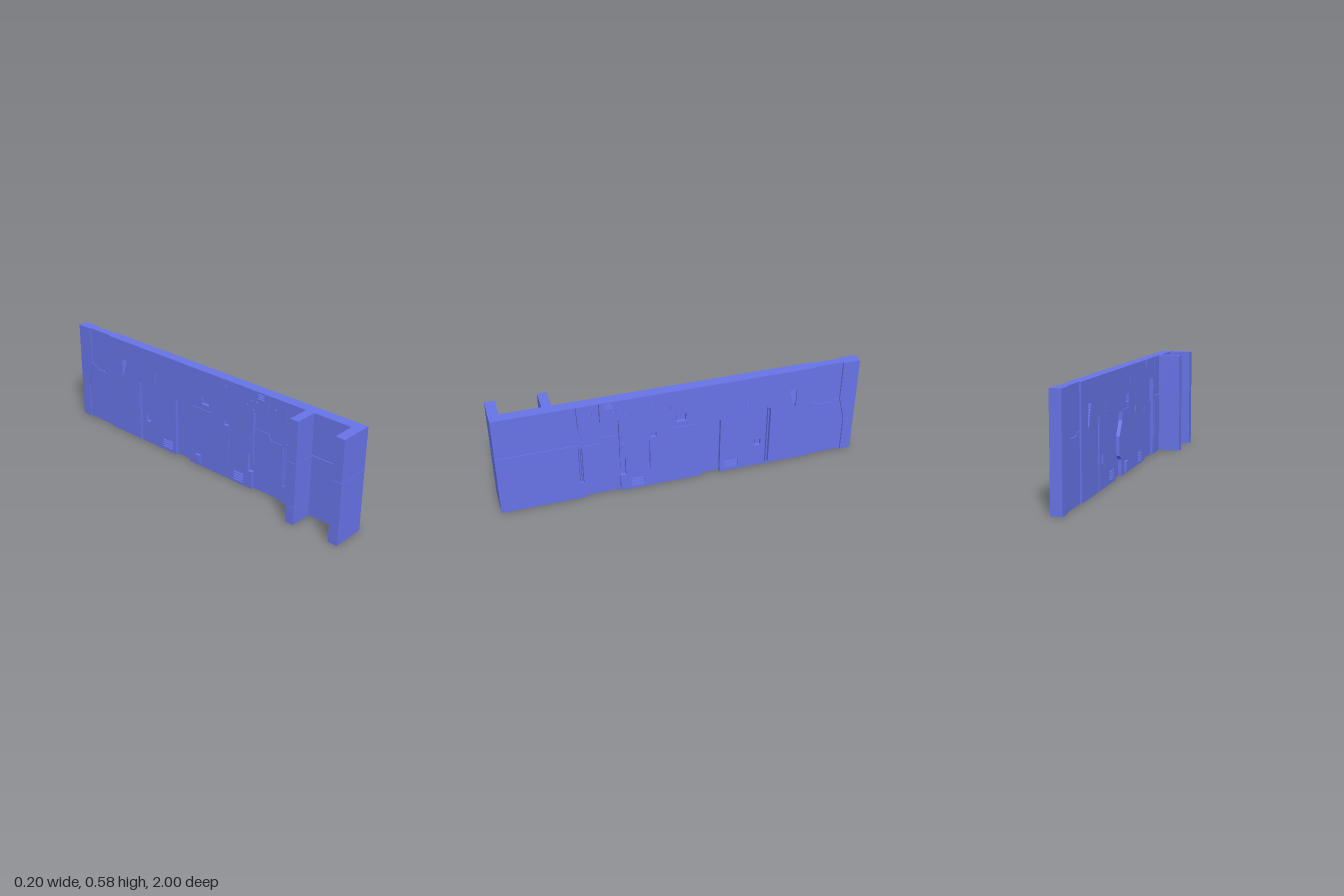
import * as THREE from 'three';

const H = 0.58;

export function createModel() {
  const group = new THREE.Group();
  const mat = new THREE.MeshStandardMaterial({ color: 0x6673e6 });

  function add(name, geometry) {
    const mesh = new THREE.Mesh(geometry, mat);
    mesh.name = name;
    group.add(mesh);
    return mesh;
  }
  // Box given by its limits
  function box(name, x0, x1, y0, y1, z0, z1) {
    const g = new THREE.BoxGeometry(x1 - x0, y1 - y0, z1 - z0);
    g.translate((x0 + x1) / 2, (y0 + y1) / 2, (z0 + z1) / 2);
    return add(name, g);
  }
  const vectors = pts => pts.map(p => new THREE.Vector2(p[0], p[1]));
  // Outline in (z, y), extruded from x0 to x1
  function plate(name, pts, x0, x1, holes = []) {
    const shape = new THREE.Shape(vectors(pts));
    for (const h of holes) shape.holes.push(new THREE.Path(vectors(h)));
    const g = new THREE.ExtrudeGeometry(shape, { depth: x1 - x0, bevelEnabled: false });
    g.rotateY(-Math.PI / 2);
    g.translate(x1, 0, 0);
    return add(name, g);
  }
  const rect = (z0, z1, y0, y1) => [[z0, y0], [z1, y0], [z1, y1], [z0, y1]];
  // Narrow closed ribbon along a line, used for panel seams
  function seam(pts, w = 0.004) {
    const steep = Math.abs(pts[0][1] - pts[pts.length - 1][1]) > Math.abs(pts[0][0] - pts[pts.length - 1][0]);
    const d = steep ? [w / 2, 0] : [0, w / 2];
    const a = pts.map(p => [p[0] + d[0], p[1] + d[1]]);
    const b = pts.map(p => [p[0] - d[0], p[1] - d[1]]).reverse();
    return a.concat(b);
  }

  // Central slab
  box('wallCore', 0.05, 0.07, 0, H, -1, 0.945);

  // Front corner post and second flange, stacked in three courses
  for (const [x1, z0, z1] of [[0.09, 0.945, 1], [0.03, 0.68, 0.73]]) {
    const g = 0.001;
    box('flangeCore', -0.095, x1 - 0.003, 0.002, H - 0.002, z0 + 0.003, z1 - 0.003);
    for (const [y0, y1] of [[0, 0.1], [0.1 + g, 0.348 - g], [0.348 + g, H]])
      box('flangeCourse', -0.098, x1, y0, y1, z0, z1);
  }

  // Skin outline with open doorway, side notch and hatch recess
  const skin = [
    [0.945, 0], [0.945, H], [-0.74, H], [-0.74, 0], [-0.21, 0], [-0.21, 0.35],
    [-0.085, 0.35], [-0.085, 0.3], [-0.132, 0.22], [-0.132, 0.115], [-0.102, 0.09], [-0.102, 0],
    [0.35, 0], [0.35, 0.1], [0.32, 0.1], [0.32, 0.21], [0.35, 0.21], [0.35, 0.46],
    [0.54, 0.46], [0.54, 0]
  ];
  const slattedVents = [
    { r: [0.22, 0.29, 0.015, 0.075], n: 4 }, { r: [-0.315, -0.235, 0.02, 0.075], n: 4 },
    { r: [0.375, 0.42, 0.54, 0.575], n: 3 }
  ];
  const framed = [[-0.015, 0.04, 0.385, 0.43], [0.15, 0.18, 0.315, 0.345], [-0.445, -0.41, 0.135, 0.175]];
  const dots = [[0.495, 0.52], [0.37, 0.52], [0.335, 0.52], [0.35, 0.47], [0.307, 0.49], [0.163, 0.545]];
  for (let i = 0; i < 4; i++) dots.push([-0.366, 0.39 + i * 0.022]);
  const holes = [
    ...slattedVents.map(v => rect(...v.r)),
    ...framed.map(f => rect(...f)),
    ...dots.map(([z, y]) => rect(z - 0.005, z + 0.005, y - 0.005, y + 0.005)),
    rect(0.55, 0.575, 0.1, 0.325),
    [[-0.474, 0.002], [-0.474, 0.39], [-0.497, 0.365], [-0.497, 0.002]],
    [[-0.598, 0.462], [-0.642, 0.462], [-0.642, 0.35], [-0.627, 0.365]],
    seam([[0.57, 0.578], [0.566, 0.45], [0.55, 0.36]]),
    seam([[0.45, 0.462], [0.45, 0.578]]),
    seam([[0.187, 0.1], [0.187, 0.3]]),
    seam([[0.56, 0.348], [0.944, 0.348]]),
    seam([[-0.08, 0.354], [0.055, 0.354]], 0.003)
  ];
  const tail = [[-1, 0], [-0.94, 0], [-0.94, 0.21], [-0.905, 0.35], [-0.905, H], [-1, H]];
  const step = [[-0.905, 0.35], [-0.87, 0.35], [-0.86, 0.333], [-0.785, 0.333], [-0.77, 0.35], [-0.74, 0.35]];

  // Both faces of the wall carry the same details
  for (const s of [1, -1]) {
    // Depth span measured outwards from the wall centre plane
    const span = (a, b) => s > 0 ? [0.06 + a, 0.06 + b] : [0.06 - b, 0.06 - a];
    const relief = (name, z0, z1, y0, y1, a, b) => box(name, ...span(a, b), y0, y1, z0, z1);

    plate('wallSkin', skin, ...span(0.01, 0.03), holes);
    plate('rearEndPanel', tail, ...span(0.01, 0.03));

    // Sunken bay split by a stepped seam
    plate('upperBayPanel', [...step.map(p => [p[0], p[1] + 0.002]), [-0.74, H], [-0.905, H]], ...span(0.01, 0.021));
    plate('lowerBayPanel', [...step.map(p => [p[0], p[1] - 0.002]), [-0.74, 0], [-0.94, 0], [-0.94, 0.21]], ...span(0.01, 0.021));

    // Door leaf with stepped seam
    plate('doorLeaf', [[0.35, 0], [0.54, 0], [0.54, 0.323], [0.455, 0.323], [0.44, 0.358], [0.35, 0.358]], ...span(0.01, 0.014));

    // Horizontal slats inside the vents
    for (const { r: [z0, z1, y0, y1], n } of slattedVents) {
      const pitch = (y1 - y0) / n;
      for (let i = 0; i < n; i++)
        relief('ventSlat', z0, z1, y0 + (i + 0.3) * pitch, y0 + (i + 0.75) * pitch, 0.01, 0.026);
    }
    // Tapered grille
    for (let i = 0; i < 7; i++) {
      const y = 0.37 + i * 0.013;
      relief('grilleSlat', -0.642, -0.627 + 0.029 * (i / 7), y, y + 0.006, 0.01, 0.024);
    }
    // Upright bars in the long slots
    for (const z of [0.556, 0.566]) relief('slotBar', z - 0.002, z + 0.002, 0.1, 0.325, 0.01, 0.026);
    relief('columnBar', -0.488, -0.482, 0.002, 0.372, 0.01, 0.026);
    // Inner blocks of the framed recesses
    for (const [z0, z1, y0, y1] of framed)
      relief('recessBlock', z0 + 0.007, z1 - 0.007, y0 + 0.007, y1 - 0.007, 0.01, 0.019);
    // Panel in the notch beside the door, latch and studs
    relief('notchPanel', 0.327, 0.345, 0.11, 0.2, 0.01, 0.016);
    relief('doorLatch', 0.33, 0.338, 0.287, 0.318, 0.03, 0.037);
    for (const z of [0.158, 0.065]) relief('stud', z - 0.005, z + 0.005, 0.472, 0.503, 0.03, 0.032);
  }

  // Small control box on the inner side
  box('controlBox', 0.015, 0.03, 0.015, 0.07, -0.05, -0.015);

  // Widest latch edge sets the outer limit on the outer side
  box('latchTip', 0.096, 0.098, 0.29, 0.315, 0.331, 0.337);
  return group;
}
